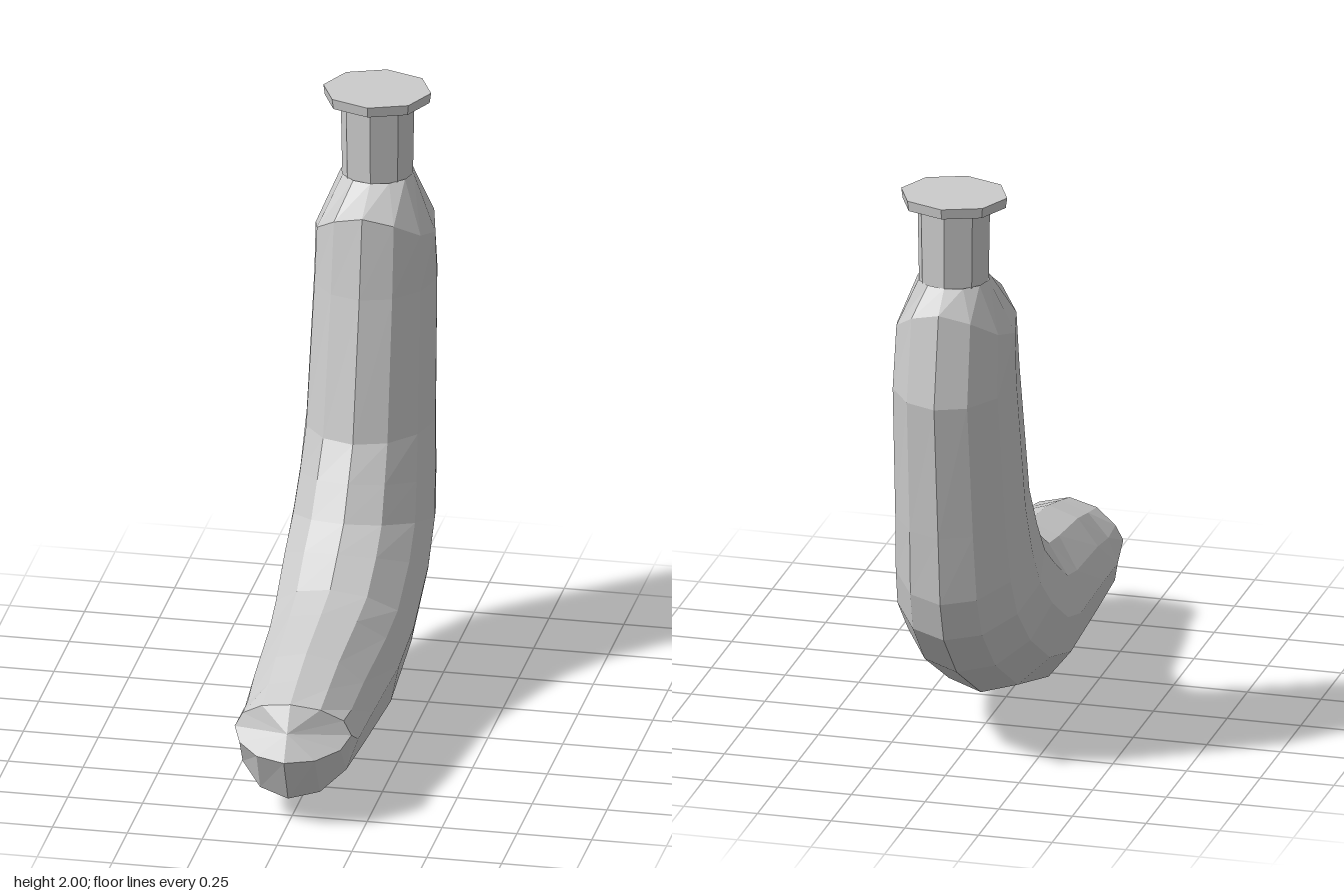
import * as THREE from 'three';

const SIDES = 12;

// Rings from shoulder to tip: inner z, inner y, outer z, outer y, half width,
// and how far the flanks shift in z and y
const RINGS = [
  [-0.525, 1.71, -0.765, 1.71, 0.12, 0, 0],
  [-0.39, 1.64, -0.835, 1.64, 0.2, 0, -0.12],
  [-0.345, 1.37, -0.89, 1.33, 0.205, 0, 0],
  [-0.24, 0.9, -0.84, 0.86, 0.215, 0, 0],
  [-0.165, 0.79, -0.815, 0.62, 0.225, 0, 0],
  [-0.09, 0.68, -0.77, 0.48, 0.235, 0, 0],
  [0.01, 0.615, -0.61, 0.31, 0.24, 0, 0],
  [0.13, 0.54, -0.31, 0.13, 0.235, 0, 0],
  [0.28, 0.515, 0.13, 0, 0.225, -0.1, 0.02],
  [0.52, 0.48, 0.51, 0.045, 0.21, -0.06, 0],
  [0.66, 0.445, 0.82, 0.09, 0.2, -0.09, -0.02],
  [0.785, 0.41, 0.89, 0.245, 0.195, -0.1, -0.03],
];

function ringPoint([zi, yi, zo, yo, w, sz, sy], j) {
  const t = (j / SIDES) * Math.PI * 2;
  const c = Math.cos(t), s = Math.sin(t);
  return [
    w * s,
    (yi + yo) / 2 + ((yi - yo) / 2) * c + sy * s * s,
    (zi + zo) / 2 + ((zi - zo) / 2) * c + sz * s * s,
  ];
}

// Skins the rings and closes the last one with a fan
function loft(rings) {
  const pos = [];
  rings.forEach((ring, i) => {
    const next = rings[i + 1];
    for (let j = 0; j < SIDES; j++) {
      const a = ringPoint(ring, j), b = ringPoint(ring, j + 1);
      if (next) {
        const c = ringPoint(next, j), d = ringPoint(next, j + 1);
        pos.push(...a, ...c, ...b, ...b, ...c, ...d);
      } else {
        const centre = [0, (ring[1] + ring[3]) / 2, (ring[0] + ring[2]) / 2];
        pos.push(...centre, ...b, ...a);
      }
    }
  });
  const geo = new THREE.BufferGeometry();
  geo.setAttribute('position', new THREE.Float32BufferAttribute(pos, 3));
  geo.computeVertexNormals();
  return geo;
}

export function createModel() {
  const group = new THREE.Group();
  group.name = 'banana';
  const material = new THREE.MeshStandardMaterial({ color: 0xcccccc, flatShading: true });
  const add = (name, geo, y = 0, z = 0) => {
    const mesh = new THREE.Mesh(geo, material);
    mesh.name = name;
    mesh.position.set(0, y, z);
    group.add(mesh);
    return mesh;
  };

  // Curved fruit with a blunt wedge tip
  add('fruit', loft(RINGS));

  // Short stem, slightly flared upward
  add('stem', new THREE.CylinderGeometry(0.123, 0.118, 0.29, 8), 1.825, -0.645);

  // Thin flared cap on the stem
  const cap = add('stemCap', new THREE.CylinderGeometry(0.18, 0.175, 0.035, 8), 1.9825, -0.64);
  cap.scale.z = 0.9;

  return group;
}
